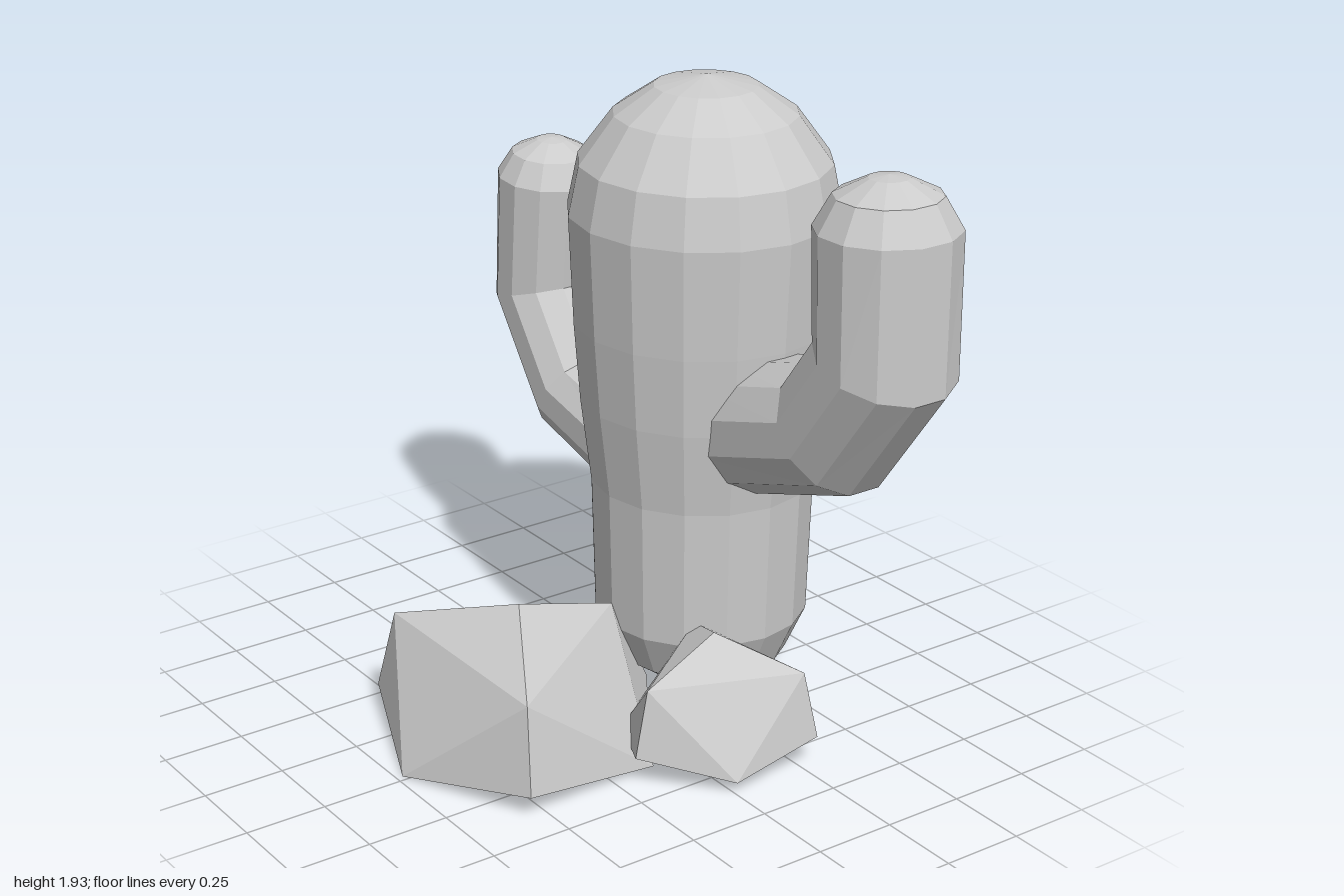
import * as THREE from 'three';
import { ConvexGeometry } from 'three/addons/geometries/ConvexGeometry.js';

const v2 = (x, y) => new THREE.Vector2(x, y);
const grey = () => new THREE.MeshStandardMaterial({ color: 0xcccccc, flatShading: true });

function addMesh(parent, name, geometry) {
  const flat = geometry.index ? geometry.toNonIndexed() : geometry;
  flat.computeVertexNormals();
  const mesh = new THREE.Mesh(flat, grey());
  mesh.name = name;
  parent.add(mesh);
  return mesh;
}

// Bent 12-sided limb in the xy plane: one ring per joint, then a rounded tip
function limbGeometry(path, radius) {
  const sides = 12;
  const dirs = path.slice(1).map((p, i) => p.clone().sub(path[i]).normalize());
  const last = dirs.length - 1;
  const rings = path.map((p, i) => ({
    p,
    t: dirs[Math.max(i - 1, 0)].clone().add(dirs[Math.min(i, last)]).normalize(),
    r: radius,
  }));
  const end = path[path.length - 1];
  for (const [r, h] of [[0.74, 0.45], [0.28, 0.68], [0, 0.72]]) {
    rings.push({ p: end.clone().addScaledVector(dirs[last], h * radius), t: dirs[last], r: r * radius });
  }
  const pos = [];
  const index = [];
  rings.forEach(({ p, t, r }, i) => {
    for (let j = 0; j < sides; j++) {
      const a = ((j + 0.5) / sides) * Math.PI * 2;
      const c = r * Math.cos(a);
      pos.push(p.x + t.y * c, p.y - t.x * c, -r * Math.sin(a));
      if (i === rings.length - 1) continue;
      const k = (j + 1) % sides;
      const a0 = i * sides + j, a1 = i * sides + k;
      index.push(a0, a1, a1 + sides);
      if (i < rings.length - 2) index.push(a0, a1 + sides, a0 + sides);
    }
  });
  const g = new THREE.BufferGeometry();
  g.setAttribute('position', new THREE.Float32BufferAttribute(pos, 3));
  g.setIndex(index);
  return g;
}

// Faceted boulder, mirrored across its own x
function rockGeometry() {
  const points = [[0, 0.44, 0], [0, 0.35, -0.33], [0, 0, 0.41], [0, 0.07, -0.46]];
  for (const s of [-1, 1]) {
    points.push([s * 0.36, 0.325, 0.21], [s * 0.42, 0.07, 0.24], [s * 0.37, 0, -0.22]);
  }
  return new ConvexGeometry(points.map((p) => new THREE.Vector3(...p)));
}

export function createModel() {
  const model = new THREE.Group();
  model.name = 'cactusWithRocks';

  const cactus = new THREE.Group();
  cactus.name = 'cactus';
  cactus.position.z = -0.34;
  model.add(cactus);

  // Trunk
  const profile = [
    [0, 0.02], [0.145, 0.05], [0.265, 0.135], [0.325, 0.27], [0.337, 0.7], [0.37, 0.96],
    [0.389, 1.2], [0.404, 1.53], [0.373, 1.68], [0.27, 1.82], [0.152, 1.9], [0, 1.93],
  ].map(([r, y]) => v2(r, y));
  addMesh(cactus, 'trunk', new THREE.LatheGeometry(profile, 16)).position.x = -0.02;

  // Arms
  addMesh(cactus, 'leftArm', limbGeometry(
    [v2(0.2, 0.93), v2(0.615, 1.065), v2(0.8, 1.315), v2(0.79, 1.695)], 0.205));
  addMesh(cactus, 'rightArm', limbGeometry(
    [v2(-0.2, 0.66), v2(-0.64, 0.765), v2(-0.845, 1.045), v2(-0.82, 1.425)], 0.168));

  // Rocks
  addMesh(model, 'largeRock', rockGeometry()).position.set(-0.02, 0, 0.32);
  const small = addMesh(model, 'smallRock', rockGeometry());
  small.position.set(0.37, 0.035, -0.1);
  small.scale.set(0.65, 0.8, 0.65);
  small.rotation.y = 1.2;

  return model;
}
